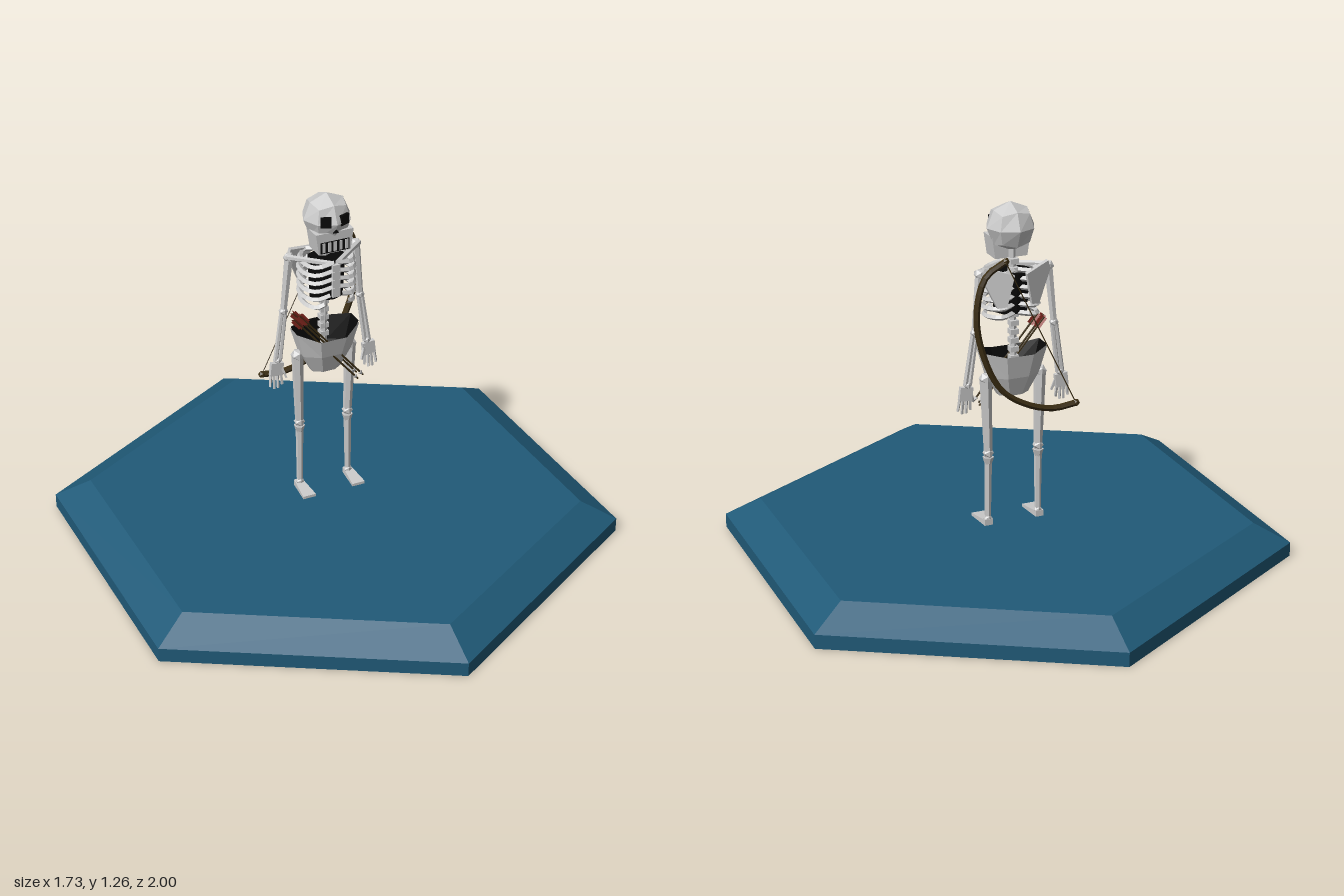
import * as THREE from 'three';

const mat = (color, side = THREE.FrontSide) =>
  new THREE.MeshStandardMaterial({ color, flatShading: true, side });
const BONE = mat(0xcccccc), DARK = mat(0x080808), WOOD = mat(0x3d2f14), RED = mat(0x8a2a20, THREE.DoubleSide);
const V = (x, y, z) => new THREE.Vector3(x, y, z);

function add(parent, name, geo, material = BONE, x = 0, y = 0, z = 0) {
  const m = new THREE.Mesh(geo, material);
  m.name = name;
  m.position.set(x, y, z);
  parent.add(m);
  return m;
}
const box = (w, h, d) => new THREE.BoxGeometry(w, h, d);

// Tapered rod from a to b
function rod(parent, name, a, b, ra, rb = ra, material = BONE, sides = 6) {
  const dir = b.clone().sub(a);
  const m = add(parent, name, new THREE.CylinderGeometry(rb, ra, dir.length(), sides), material);
  m.position.copy(a).addScaledVector(dir, 0.5);
  m.quaternion.setFromUnitVectors(V(0, 1, 0), dir.normalize());
  return m;
}
function knob(parent, name, p, r) {
  return add(parent, name, new THREE.IcosahedronGeometry(r, 0), BONE, p.x, p.y, p.z);
}
function group(parent, name) {
  const g = new THREE.Group();
  g.name = name;
  parent.add(g);
  return g;
}

function base(root) {
  const blue = mat(0x205a78);
  add(root, 'baseRim', new THREE.CylinderGeometry(1, 1, 0.05, 6), blue, 0, 0.025);
  add(root, 'baseTop', new THREE.CylinderGeometry(0.87, 1, 0.068, 6), blue, 0, 0.084);
}

function skull(root) {
  const g = group(root, 'skull');
  // Cranium: a subdivided box pushed out to an ellipsoid
  const geo = box(1, 1, 1).copy(new THREE.BoxGeometry(1, 1, 1, 2, 2, 2));
  const p = geo.attributes.position, v = V(0, 0, 0);
  for (let i = 0; i < p.count; i++) {
    v.fromBufferAttribute(p, i).normalize();
    p.setXYZ(i, v.x * 0.085, v.y * 0.085, v.z * 0.085);
  }
  add(g, 'cranium', geo, BONE, 0, 1.174, -0.055);
  // Jaw narrows towards the chin
  const jaw = box(0.138, 0.075, 0.075), q = jaw.attributes.position;
  for (let i = 0; i < q.count; i++) if (q.getY(i) < 0) q.setX(i, q.getX(i) * 0.84);
  add(g, 'jaw', jaw, BONE, 0, 1.105, -0.027);
  add(g, 'mouth', box(0.106, 0.04, 0.004), DARK, 0, 1.091, 0.011);
  for (let i = -2; i <= 2; i++) add(g, 'tooth', box(0.011, 0.034, 0.005), BONE, i * 0.021, 1.092, 0.0125);
  for (const s of [-1, 1]) {
    const eye = add(g, 'eyeSocket', box(0.036, 0.036, 0.012), DARK, s * 0.033, 1.183, 0.012);
    eye.rotation.y = s * 0.42;
  }
  const nose = add(g, 'nose', new THREE.CylinderGeometry(0.011, 0.011, 0.008, 3), DARK, 0, 1.148, 0.018);
  nose.rotation.x = -Math.PI / 2;
}

function torso(root) {
  const g = group(root, 'torso');
  // Spine with vertebrae
  rod(g, 'spine', V(0, 0.68, -0.08), V(0, 1.1, -0.07), 0.012);
  for (let i = 0; i < 12; i++) add(g, 'vertebra', box(0.03, 0.018, 0.028), BONE, 0, 0.72 + i * 0.031, -0.081);
  // Dark hollow inside the ribs
  const core = add(g, 'chestHollow', new THREE.CylinderGeometry(0.07, 0.062, 0.14, 8), DARK, 0, 0.952, -0.057);
  core.scale.z = 0.85;
  add(g, 'sternum', box(0.028, 0.12, 0.012), BONE, 0, 0.965, 0.018);
  for (let i = 0; i < 6; i++) {
    const y = 0.872 + i * 0.03, w = 0.084 + (i > 0 && i < 5 ? 0.005 : 0);
    const end = i === 0 ? 0.04 : i === 1 ? 0.02 : 0.006;
    for (const s of [-1, 1]) {
      const path = new THREE.CatmullRomCurve3([
        V(s * 0.008, y + 0.012, -0.1), V(s * 0.055, y + 0.008, -0.122), V(s * w, y + 0.003, -0.085),
        V(s * w, y - 0.003, -0.03), V(s * 0.062, y - 0.002, 0.006), V(s * end, y + 0.01, 0.016)]);
      add(g, 'rib', new THREE.TubeGeometry(path, 12, 0.0095, 4));
    }
  }
  for (const s of [-1, 1]) {
    // Collarbone and shoulder blade
    rod(g, 'collarbone', V(s * 0.012, 1.026, 0.008), V(s * 0.135, 1.035, -0.085), 0.01);
    const blade = new THREE.Shape([[0.022, 1.03], [0.115, 1.055], [0.125, 1.025], [0.075, 0.915], [0.045, 0.92]]
      .map(([x, y]) => new THREE.Vector2(s * x, y)));
    const geo = new THREE.ExtrudeGeometry(blade, { depth: 0.018, bevelEnabled: false });
    const p = geo.attributes.position;
    for (let i = 0; i < p.count; i++) p.setZ(i, p.getZ(i) + Math.abs(p.getX(i)) * 0.4 - 0.155);
    add(g, 'shoulderBlade', geo);
  }
}

function pelvis(root) {
  const g = group(root, 'pelvis');
  const profile = [[0, 0.59], [0.058, 0.59], [0.098, 0.66], [0.127, 0.755]].map(([x, y]) => new THREE.Vector2(x, y));
  const geo = new THREE.LatheGeometry(profile, 8, Math.PI / 8);
  const p = geo.attributes.position;
  // Flatten front to back, dip the front and back rims, tip the bowl backwards
  for (let i = 0; i < p.count; i++) {
    const y = p.getY(i), z = p.getZ(i) * 0.64, top = y > 0.7;
    p.setXYZ(i, p.getX(i), top && Math.abs(z) > 0.05 ? y - (z > 0 ? 0.025 : 0.012) : y, z - 0.07);
  }
  add(g, 'pelvisBowl', geo);
  const inner = add(g, 'pelvisHollow', geo.clone(), mat(0x080808, THREE.BackSide), 0, 0.003, -0.002);
  inner.scale.set(0.97, 1, 0.97);
}

function arm(root, s) {
  const g = group(root, s > 0 ? 'leftArm' : 'rightArm');
  const sh = V(s * 0.124, 1.03, -0.088), el = V(s * 0.144, 0.83, -0.092), wr = V(s * 0.17, 0.645, -0.088);
  knob(g, 'shoulder', sh, 0.02);
  rod(g, 'upperArm', sh, el, 0.016, 0.012);
  knob(g, 'elbow', el, 0.017);
  for (const d of [-1, 1])
    rod(g, 'forearm', el.clone().add(V(d * 0.006, 0, 0)), wr.clone().add(V(d * 0.008, 0, 0)), 0.0085);
  knob(g, 'wrist', wr, 0.014);
  const palm = add(g, 'palm', box(0.046, 0.048, 0.016), BONE, s * 0.176, 0.615, -0.086);
  palm.rotation.z = s * 0.12;
  for (let i = 0; i < 4; i++) {
    const x = 0.161 + i * 0.012;
    rod(g, 'finger', V(s * x, 0.6, -0.086), V(s * (x + (i - 1) * 0.003), i % 3 ? 0.542 : 0.553, -0.08), 0.006, 0.005, BONE, 4);
  }
  rod(g, 'thumb', V(s * 0.16, 0.625, -0.084), V(s * 0.144, 0.578, -0.075), 0.007, 0.005, BONE, 4);
}

function leg(root, s) {
  const g = group(root, s > 0 ? 'leftLeg' : 'rightLeg');
  const hip = V(s * 0.1, 0.655, -0.078), knee = V(s * 0.093, 0.385, -0.082), ankle = V(s * 0.094, 0.14, -0.08);
  knob(g, 'hip', hip, 0.024);
  rod(g, 'thigh', hip, knee, 0.021, 0.015);
  knob(g, 'knee', knee, 0.02);
  rod(g, 'shin', knee, ankle, 0.014, 0.011);
  rod(g, 'shinKnuckle', V(s * 0.093, 0.37, -0.082), V(s * 0.093, 0.345, -0.082), 0.02, 0.013);
  knob(g, 'ankle', ankle, 0.016);
  // Foot thins out towards the toes
  const foot = box(0.042, 0.022, 0.1), p = foot.attributes.position;
  for (let i = 0; i < p.count; i++) {
    if (p.getZ(i) > 0) {
      p.setX(i, p.getX(i) * 1.15);
      if (p.getY(i) > 0) p.setY(i, -0.001);
    } else p.setX(i, p.getX(i) * 0.7);
  }
  add(g, 'foot', foot, BONE, s * 0.096, 0.129, -0.044);
}

function bow(root) {
  const g = group(root, 'bow'), z = -0.167;
  const pts = [[0.065, 1.09], [0.135, 1.045], [0.168, 0.92], [0.148, 0.785], [0.082, 0.645],
    [-0.01, 0.578], [-0.11, 0.548], [-0.195, 0.555]].map(([x, y]) => V(x, y, z));
  add(g, 'bowStave', new THREE.TubeGeometry(new THREE.CatmullRomCurve3(pts), 28, 0.011, 6), WOOD);
  for (const e of [pts[0], pts[7]]) add(g, 'bowTip', new THREE.IcosahedronGeometry(0.014, 0), WOOD, e.x, e.y, z);
  rod(g, 'bowString', pts[0], pts[7], 0.0018, 0.0018, WOOD, 4);
}

function arrows(root) {
  const g = group(root, 'arrows');
  // Each arrow: x offset, y offset, depth
  for (const [x, y, z] of [[0, 0, -0.015], [0.022, 0.008, -0.018], [0.012, 0.004, -0.05]]) {
    const a = V(-0.14 + x, 0.832 + y, z), b = V(0.1 + x, 0.545 + y, z);
    rod(g, 'shaft', a, b, 0.0035, 0.0035, WOOD, 5);
    const dir = b.clone().sub(a).normalize();
    rod(g, 'arrowHead', b.clone().addScaledVector(dir, -0.02), b, 0.008, 0.001, BONE, 4);
    for (let i = 0; i < 3; i++) {
      const f = add(g, 'feather', new THREE.PlaneGeometry(0.026, 0.045), RED);
      f.position.copy(a).addScaledVector(dir, 0.022);
      f.quaternion.setFromUnitVectors(V(0, -1, 0), dir);
      f.rotateY(i * Math.PI / 3);
    }
  }
}

export function createModel() {
  const root = new THREE.Group();
  root.name = 'skeletonArcher';
  base(root);
  skull(root);
  torso(root);
  pelvis(root);
  for (const s of [-1, 1]) {
    arm(root, s);
    leg(root, s);
  }
  bow(root);
  arrows(root);
  return root;
}
